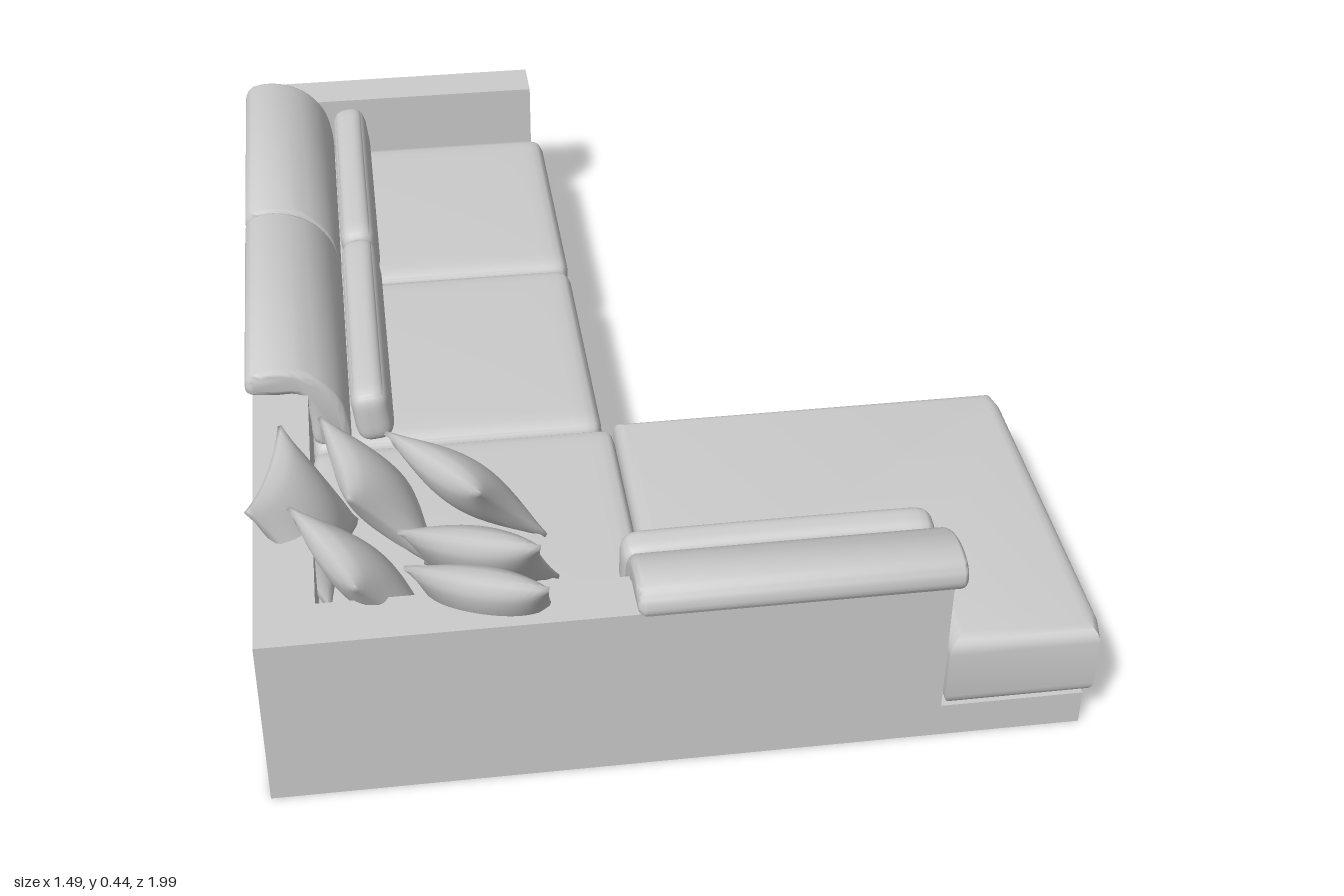
import * as THREE from 'three';
import { mergeVertices, toCreasedNormals } from 'three/addons/utils/BufferGeometryUtils.js';

const material = new THREE.MeshStandardMaterial({ color: 0xcccccc });

function add(parent, name, geometry, x = 0, y = 0, z = 0) {
  const mesh = new THREE.Mesh(geometry, material);
  mesh.name = name;
  mesh.position.set(x, y, z);
  parent.add(mesh);
  return mesh;
}

// Weld a geometry so that it shades smoothly
function smooth(geometry) {
  geometry.deleteAttribute('uv');
  geometry.deleteAttribute('normal');
  const welded = mergeVertices(geometry, 1e-5);
  welded.computeVertexNormals();
  return welded;
}

// Upright block from a floor plan of [x, z] points
function planBlock(points, height, bevel = 0) {
  const shape = new THREE.Shape(points.map(([x, z]) => new THREE.Vector2(x, -z)));
  const geometry = new THREE.ExtrudeGeometry(shape, {
    depth: height - 2 * bevel, bevelEnabled: bevel > 0, bevelThickness: bevel,
    bevelSize: bevel, bevelOffset: -bevel, bevelSegments: 5,
  });
  geometry.translate(0, 0, bevel).rotateX(-Math.PI / 2);
  return toCreasedNormals(geometry, 0.6);
}

// Rounded box with a gentle crown on its top
function softBox(w, h, d, r, crown) {
  const geometry = new THREE.BoxGeometry(2, 2, 2, 20, 12, 20);
  const pos = geometry.attributes.position;
  const half = new THREE.Vector3(w / 2, h / 2, d / 2);
  const inner = half.clone().subScalar(r);
  const low = inner.clone().negate();
  const p = new THREE.Vector3(), q = new THREE.Vector3();
  for (let i = 0; i < pos.count; i++) {
    p.fromBufferAttribute(pos, i);
    const bulge = p.y > 0 ? crown * (1 - p.x ** 2) * (1 - p.z ** 2) : 0;
    p.set(...p.toArray().map((v) => Math.sin(v * Math.PI / 2))).multiply(half);
    q.copy(p).clamp(low, inner);
    p.sub(q).setLength(r).add(q);
    pos.setXYZ(i, p.x, p.y + bulge, p.z);
  }
  return smooth(geometry);
}

// Square throw pillow with pinched edges and pointed corners
function pillowGeometry(size, thickness) {
  const geometry = new THREE.BoxGeometry(2, 2, 2, 16, 16, 1);
  const pos = geometry.attributes.position;
  for (let i = 0; i < pos.count; i++) {
    const u = pos.getX(i), v = pos.getY(i), s = pos.getZ(i);
    const puff = ((1 - u * u) * (1 - v * v)) ** 0.6;
    pos.setXYZ(i,
      u * size / 2 * (1 - 0.12 * (1 - v * v)),
      v * size / 2 * (1 - 0.12 * (1 - u * u)),
      s * (0.004 + puff * thickness / 2));
  }
  return smooth(geometry);
}

// Back bolster: hooks over the wall and drops to the seat, extruded along z
function bolsterGeometry(length) {
  const outline = [
    [0, 0.36], [0.003, 0.395], [0.03, 0.411], [0.08, 0.41], [0.135, 0.385],
    [0.175, 0.335], [0.19, 0.27], [0.187, 0.228], [0.155, 0.222], [0.122, 0.23],
    [0.115, 0.29], [0.1, 0.345], [0.05, 0.35],
  ].map(([x, y]) => new THREE.Vector3(x, y, 0));
  const curve = new THREE.CatmullRomCurve3(outline, true);
  const shape = new THREE.Shape(
    curve.getPoints(56).slice(0, -1).map((p) => new THREE.Vector2(p.x, p.y)));
  const bevel = 0.015;
  const geometry = new THREE.ExtrudeGeometry(shape, {
    depth: length - 2 * bevel, bevelThickness: bevel, bevelSize: bevel,
    bevelOffset: -bevel, bevelSegments: 4,
  });
  geometry.translate(0, 0, bevel);
  return toCreasedNormals(geometry, 0.8);
}

export function createModel() {
  const sofa = new THREE.Group();
  sofa.name = 'cornerSofa';

  // Plinth and the wall that wraps around three sides
  add(sofa, 'plinth', planBlock([
    [-0.735, -1], [-0.085, -1], [-0.085, 0.285], [0.715, 0.285], [0.715, 0.97], [-0.735, 0.97],
  ], 0.07));
  add(sofa, 'backWall', planBlock([
    [-0.735, -1], [-0.085, -1], [-0.085, -0.9], [-0.63, -0.9], [-0.63, 0.87],
    [0.455, 0.87], [0.455, 0.97], [-0.735, 0.97],
  ], 0.28), 0, 0.07, 0);

  // Seat cushions
  add(sofa, 'seatCushion', softBox(0.57, 0.15, 0.578, 0.03, 0.008), -0.345, 0.146, -0.609);
  add(sofa, 'seatCushion', softBox(0.57, 0.15, 0.583, 0.03, 0.008), -0.345, 0.146, -0.026);
  add(sofa, 'cornerCushion', softBox(0.59, 0.15, 0.605, 0.025, 0.004), -0.337, 0.145, 0.57);
  add(sofa, 'chaiseCushion', planBlock([
    [-0.04, 0.255], [0.728, 0.255], [0.738, 0.3], [0.738, 0.93], [0.728, 0.98],
    [0.457, 0.98], [0.457, 0.868], [-0.04, 0.868],
  ], 0.155, 0.03), 0, 0.072, 0);

  // Back bolsters with a lumbar cushion in front of each
  const backs = [
    { at: [-0.745, 0, -0.9], turn: 0, length: 0.575 },
    { at: [-0.745, 0, -0.32], turn: 0, length: 0.588 },
    { at: [-0.093, 0, 0.988], turn: Math.PI / 2, length: 0.568 },
  ];
  for (const { at, turn, length } of backs) {
    const back = new THREE.Group();
    back.name = 'backrest';
    back.position.set(...at);
    back.rotation.y = turn;
    add(back, 'bolster', bolsterGeometry(length));
    const lumbar = add(back, 'lumbarCushion',
      softBox(0.075, 0.118, length, 0.03, 0.006), 0.235, 0.278, length / 2);
    lumbar.rotation.z = 0.12;
    sofa.add(back);
  }

  // Throw pillows heaped in the corner: x, y, z, yaw and lean in degrees
  const pillow = pillowGeometry(0.25, 0.085);
  const heap = [
    [-0.645, 0.322, 0.6, 76, 32],
    [-0.51, 0.325, 0.55, 100, 38],
    [-0.35, 0.33, 0.555, 128, 40],
    [-0.545, 0.322, 0.775, 115, 38],
    [-0.34, 0.325, 0.75, 163, 38],
    [-0.335, 0.335, 0.875, 160, 35],
  ];
  for (const [x, y, z, yaw, lean] of heap) {
    const mesh = add(sofa, 'throwPillow', pillow, x, y, z);
    mesh.rotation.set(-THREE.MathUtils.degToRad(lean), THREE.MathUtils.degToRad(yaw), 0, 'YXZ');
  }
  return sofa;
}
